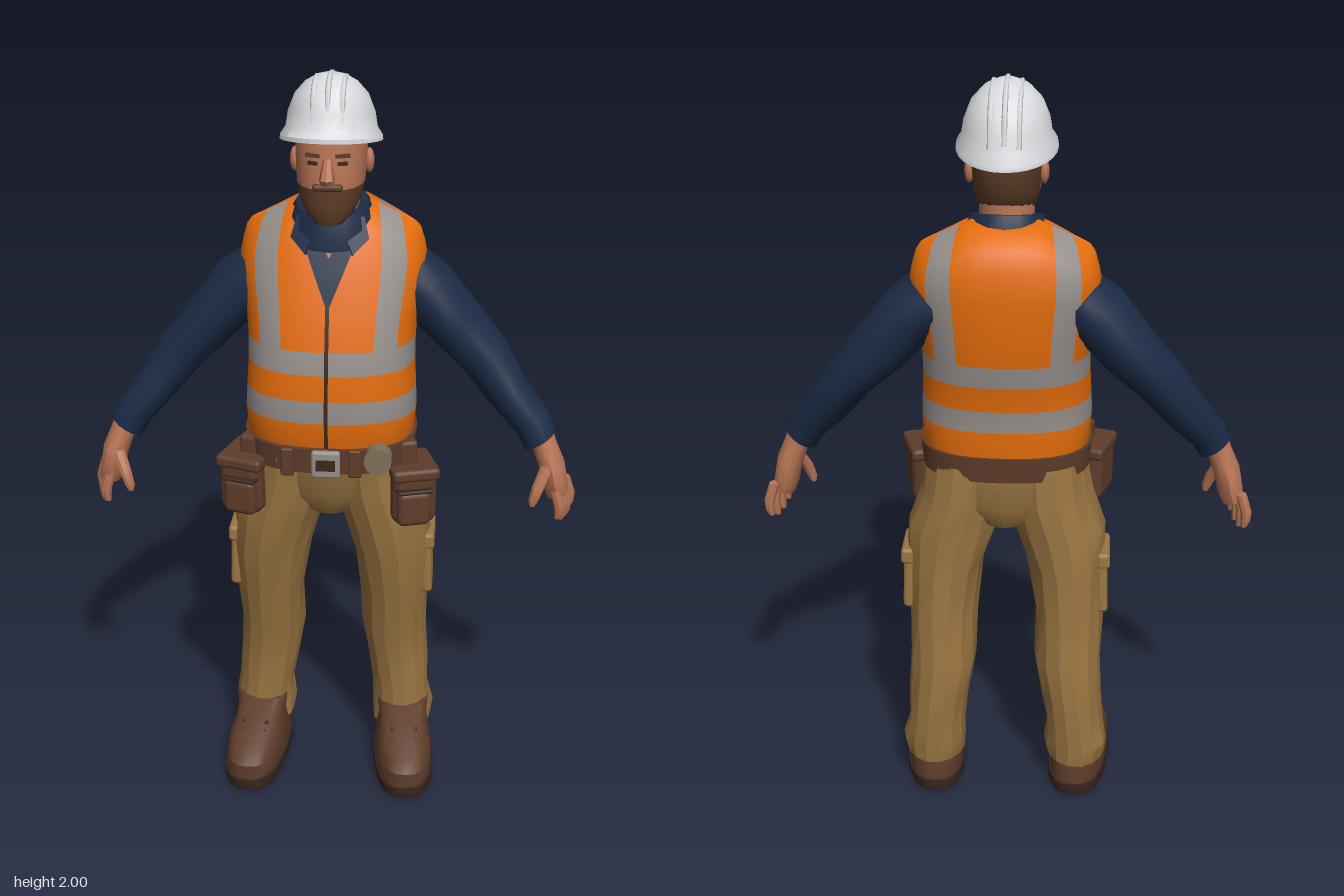
import * as THREE from 'three';
import { toCreasedNormals } from 'three/addons/utils/BufferGeometryUtils.js';
import { RoundedBoxGeometry } from 'three/addons/geometries/RoundedBoxGeometry.js';

const mat = (name, color) => Object.assign(new THREE.MeshStandardMaterial({ color }), { name });
const orange = mat('vest orange', 0xe36c0c), silver = mat('reflective grey', 0x97908c);
const navy = mat('shirt navy', 0x1b2a45), khaki = mat('trouser khaki', 0x9c7642);
const leather = mat('leather brown', 0x5e3d2b), sole = mat('dark brown', 0x3a271d);
const skin = mat('skin', 0xb97657), hair = mat('hair brown', 0x5c3c27);
const white = mat('helmet white', 0xd9dbde), metal = mat('worn metal', 0x80705a);

const V = (x, y, z) => new THREE.Vector3(x, y, z);

function add(parent, name, geo, material, pos = [0, 0, 0], rot = [0, 0, 0]) {
  const m = new THREE.Mesh(geo, material);
  m.name = name;
  m.position.set(...pos);
  m.rotation.set(...rot);
  parent.add(m);
  return m;
}

// Closed skin over rings (listed upwards); pick(centre, row, column) gives a material slot
function loft(rings, pick = () => 0, crease = 0.7) {
  const n = rings[0].length, pts = rings.flat(), faces = [[], []];
  const face = (a, b, c, i, j) => {
    const mid = V(0, 0, 0).add(pts[a]).add(pts[b]).add(pts[c]).divideScalar(3);
    faces[pick(mid, i, j)].push(a, b, c);
  };
  const centre = r => r.reduce((s, p) => s.add(p), V(0, 0, 0)).divideScalar(n);
  const last = rings.length - 1, bottom = pts.push(centre(rings[0])) - 1, top = pts.push(centre(rings[last])) - 1;
  for (let j = 0; j < n; j++) {
    const k = (j + 1) % n;
    face(bottom, j, k, -1, j);
    face(top, last * n + k, last * n + j, last, j);
    for (let i = 0; i < last; i++) {
      const a = i * n + j, b = i * n + k;
      face(a, a + n, b, i, j);
      face(b, a + n, b + n, i, j);
    }
  }
  const g = new THREE.BufferGeometry().setFromPoints(pts);
  g.setIndex(faces.flat());
  g.addGroup(0, faces[0].length, 0);
  if (faces[1].length) g.addGroup(faces[0].length, faces[1].length, 1);
  return toCreasedNormals(g, crease);
}

// Oval rings from sections [x, y, z, rx, rz, tilt]; n squares them off, slope tips them along z
function ovals(sections, { sides = 16, n = 2, slope = 0, fold = 0, s = 1 } = {}) {
  const pw = v => Math.sign(v) * Math.abs(v) ** (2 / n);
  return sections.map(([x, y, z, rx, rz, tilt = 0], i) => Array.from({ length: sides }, (_, j) => {
    const a = j / sides * Math.PI * 2, k = 1 + fold * Math.sin(3 * a + i * 2.3);
    const u = pw(Math.cos(a)) * rx * k, w = pw(Math.sin(a)) * rz * k, t = tilt * s;
    return V(s * x + u * Math.cos(t), y + u * Math.sin(t) + slope * w, z + w);
  }));
}

// Vest levels: height, half width, front z, back z
const VEST = [
  [1.03, 0.212, 0.155, -0.165], [1.06, 0.22, 0.165, -0.17], [1.13, 0.225, 0.172, -0.168],
  [1.19, 0.222, 0.17, -0.172], [1.26, 0.218, 0.166, -0.185], [1.32, 0.218, 0.155, -0.196],
  [1.4, 0.224, 0.135, -0.205], [1.5, 0.238, 0.1, -0.21], [1.57, 0.243, 0.072, -0.205],
  [1.62, 0.236, 0.045, -0.185], [1.66, 0.225, 0, -0.13], [1.672, 0.212, -0.05, -0.07]];
const bulge = f => Math.max(0, 1 - Math.abs(f) ** 2.5) ** 0.4;

function vestRing([y, w, zf, zb]) {
  const half = [1, 0.98, 0.9, 0.8, 0.67, 0.54, 0.36, 0.18];
  const across = [...half, 0, ...half.map(f => -f).reverse()];
  const mid = (zf + zb) / 2, d = (zf - zb) / 2;
  const drop = THREE.MathUtils.clamp((y - 1.35) / 0.3, 0, 1) * 0.5;
  const p = (f, side) => V(f * w, y - drop * Math.max(0, Math.abs(f * w) - 0.08), mid + side * d * bulge(f));
  return [...across.map(f => p(f, 1)), ...across.slice(1, -1).reverse().map(f => p(f, -1))];
}

function vestFront(x, y) {
  let i = 0;
  while (i < VEST.length - 2 && VEST[i + 1][0] < y) i++;
  const t = (y - VEST[i][0]) / (VEST[i + 1][0] - VEST[i][0]);
  const [, w, zf, zb] = VEST[i].map((v, k) => v + (VEST[i + 1][k] - v) * t);
  return (zf + zb) / 2 + (zf - zb) / 2 * bulge(x / w);
}

// Thin panel lying on the chest, half width running from w0 to w1
function chestPanel(y0, y1, w0, w1, lift) {
  const g = new THREE.PlaneGeometry(2, 1, 6, 14), p = g.attributes.position;
  for (let i = 0; i < p.count; i++) {
    const t = p.getY(i) + 0.5, x = p.getX(i) * (w0 + (w1 - w0) * t), y = y0 + (y1 - y0) * t;
    p.setXYZ(i, x, y, vestFront(x, y) + lift);
  }
  g.computeVertexNormals();
  return g;
}

function buildTorso(g) {
  add(g, 'safetyVest', loft(VEST.map(vestRing), (c, i, j) =>
    (i === 2 || i === 4 || (i >= 5 && i < 11 && [3, 4, 11, 12].includes(j % 16))) ? 1 : 0), [orange, silver]);
  add(g, 'shirtOpening', chestPanel(1.43, 1.63, 0.004, 0.085, 0.005), navy);
  add(g, 'openNeck', chestPanel(1.55, 1.64, 0.002, 0.045, 0.009), skin);
  add(g, 'zip', chestPanel(1.05, 1.44, 0.005, 0.005, 0.005), sole);
  add(g, 'neck', loft(ovals([[0, 1.56, -0.02, 0.07, 0.075], [0, 1.72, -0.01, 0.07, 0.078]])), skin);
  add(g, 'collar', loft(ovals([[0, 1.59, -0.025, 0.125, 0.112], [0, 1.63, -0.025, 0.115, 0.108],
    [0, 1.668, -0.02, 0.092, 0.09]], { slope: -0.25 })), navy);
  // Pointed collar leaves
  for (const s of [1, -1]) {
    const leaf = new THREE.Shape([[0.015, 0.05], [0.085, 0.055], [0.1, 0], [0.06, -0.045]]
      .map(([x, y]) => new THREE.Vector2(s * x, y)));
    add(g, 'collarLeaf', new THREE.ExtrudeGeometry(leaf, { depth: 0.012, bevelEnabled: false }), navy,
      [0, 1.6, 0.072], [-0.5, s * 0.3, 0]);
  }
}

function buildHead(g) {
  add(g, 'head', loft(ovals([[0, 1.64, 0.075, 0.035, 0.04], [0, 1.66, 0.058, 0.058, 0.064],
    [0, 1.69, 0.025, 0.076, 0.1], [0, 1.732, 0.01, 0.085, 0.115], [0, 1.78, 0.005, 0.088, 0.117],
    [0, 1.83, 0, 0.09, 0.118], [0, 1.89, 0, 0.086, 0.112]], { sides: 24, n: 2.2 }),
  c => (c.y < 1.732 || c.z < -0.005) ? 1 : 0), [skin, hair]);
  add(g, 'nose', loft(ovals([[0, 1.748, 0.128, 0.017, 0.018], [0, 1.762, 0.13, 0.02, 0.026],
    [0, 1.81, 0.115, 0.01, 0.012]], { sides: 8 })), skin);
  add(g, 'moustache', new RoundedBoxGeometry(0.075, 0.018, 0.025, 2, 0.008), hair, [0, 1.738, 0.117]);
  for (const s of [1, -1]) {
    add(g, 'ear', new THREE.SphereGeometry(1, 10, 8).scale(0.013, 0.032, 0.02), skin, [s * 0.093, 1.775, -0.01]);
    add(g, 'eye', new THREE.BoxGeometry(0.026, 0.009, 0.008), sole, [s * 0.036, 1.797, 0.112], [0, s * 0.3, 0]);
    add(g, 'eyebrow', new THREE.BoxGeometry(0.036, 0.009, 0.009), hair, [s * 0.037, 1.816, 0.112], [0, s * 0.3, 0]);
  }
  // Hard hat: tipped brim and dome with raised ribs
  add(g, 'hardHat', loft(ovals([[0, 1.834, 0.005, 0.112, 0.138], [0, 1.832, 0.008, 0.128, 0.157],
    [0, 1.843, 0.008, 0.127, 0.156], [0, 1.862, 0.003, 0.114, 0.138], [0, 1.9, 0.002, 0.108, 0.129],
    [0, 1.943, 0, 0.091, 0.109], [0, 1.973, 0, 0.064, 0.08], [0, 1.99, 0, 0.034, 0.045],
    [0, 1.995, 0, 0.01, 0.012]], { sides: 28, slope: 0.16 })), white);
  for (const x of [-0.035, 0, 0.035]) {
    const path = [[1.885, 0.128], [1.945, 0.106], [1.975, 0.075], [1.99, 0.035], [1.99, -0.035],
      [1.975, -0.075], [1.945, -0.106], [1.885, -0.128]]
      .map(([y, z]) => V(x, y + 0.16 * z - Math.abs(x) * 0.25, z * (1 - Math.abs(x))));
    add(g, 'hatRib', new THREE.TubeGeometry(new THREE.CatmullRomCurve3(path), 24, 0.007, 6), white);
  }
}

function buildArm(g, s) {
  add(g, 'sleeve', loft(ovals([[0.553, 1.035, -0.004, 0.048, 0.05, 0.6], [0.53, 1.08, -0.012, 0.052, 0.055, 0.65],
    [0.465, 1.155, -0.04, 0.058, 0.07, 0.7], [0.4, 1.245, -0.065, 0.067, 0.084, 0.7],
    [0.315, 1.335, -0.072, 0.076, 0.094, 0.72], [0.238, 1.425, -0.072, 0.083, 0.104, 0.75],
    [0.18, 1.47, -0.072, 0.08, 0.1, 0.8]], { s, fold: 0.025 })), navy);
  add(g, 'palm', loft(ovals([[0.608, 0.88, 0, 0.03, 0.045, 0.3], [0.6, 0.91, 0.002, 0.034, 0.056, 0.3],
    [0.588, 0.965, 0.003, 0.035, 0.054, 0.3], [0.568, 1.015, 0, 0.033, 0.04, 0.35],
    [0.55, 1.06, -0.005, 0.034, 0.036, 0.5]], { s, sides: 12 })), skin);
  // Fingers, front to back, and thumb
  [0.02, 0.005, 0, 0.012].forEach((short, j) => {
    const z = 0.044 - j * 0.029, x = 0.597 + j * 0.01;
    add(g, 'finger', loft(ovals([[x + 0.012, 0.803 + short, z, 0.008, 0.009], [x + 0.016, 0.82 + short, z, 0.013, 0.014],
      [x + 0.016, 0.86, z, 0.015, 0.016], [x, 0.91, z * 0.9, 0.015, 0.016]], { s, sides: 8 })), skin);
  });
  add(g, 'thumb', loft(ovals([[0.54, 0.868, 0.066, 0.008, 0.009], [0.543, 0.885, 0.066, 0.014, 0.014],
    [0.556, 0.925, 0.058, 0.017, 0.017], [0.578, 0.975, 0.032, 0.018, 0.02]], { s, sides: 8 })), skin);
}

function buildLeg(g, s) {
  add(g, 'trouserLeg', loft(ovals([[0.2, 0.1, -0.075, 0.083, 0.09], [0.2, 0.15, -0.08, 0.088, 0.094],
    [0.195, 0.21, -0.08, 0.079, 0.096], [0.186, 0.3, -0.08, 0.084, 0.1], [0.172, 0.42, -0.07, 0.091, 0.108],
    [0.174, 0.55, -0.045, 0.094, 0.118], [0.165, 0.7, -0.027, 0.106, 0.136], [0.145, 0.81, -0.02, 0.122, 0.148],
    [0.115, 0.91, -0.012, 0.116, 0.156], [0.105, 1.02, -0.005, 0.11, 0.16]], { s, fold: 0.03, sides: 14 }),
  undefined, 0.35), khaki);
  add(g, 'cargoPocket', new RoundedBoxGeometry(0.03, 0.17, 0.13, 2, 0.012), khaki, [s * 0.263, 0.65, -0.035], [0, 0, s * 0.03]);
  add(g, 'pocketFlap', new RoundedBoxGeometry(0.036, 0.045, 0.136, 2, 0.01), khaki, [s * 0.265, 0.725, -0.035], [0, 0, s * 0.03]);

  // Work boot, toe turned slightly outward
  const boot = new THREE.Group();
  boot.name = 'boot';
  boot.position.set(s * 0.207, 0, 0);
  boot.rotation.y = s * 0.09;
  g.add(boot);
  add(boot, 'bootSole', loft(ovals([[0, 0, 0.025, 0.079, 0.186], [0, 0.01, 0.025, 0.083, 0.19],
    [0, 0.036, 0.025, 0.082, 0.19]], { n: 2.7, sides: 24 })), sole);
  add(boot, 'bootUpper', loft(ovals([[0, 0.034, 0.025, 0.079, 0.186], [0, 0.08, 0.025, 0.08, 0.186],
    [0, 0.11, 0.012, 0.074, 0.165], [0, 0.135, -0.03, 0.068, 0.122], [0, 0.18, -0.068, 0.074, 0.09]],
  { n: 2.5, sides: 24 })), leather);
  for (const [y, z] of [[0.124, 0.1], [0.138, 0.072], [0.152, 0.046]])
    add(boot, 'bootLace', new RoundedBoxGeometry(0.075, 0.012, 0.014, 1, 0.004), sole, [0, y, z], [0.5, 0, 0]);
}

function buildBelt(g) {
  add(g, 'trouserSeat', loft(ovals([[0, 0.835, -0.015, 0.07, 0.11], [0, 0.9, -0.012, 0.165, 0.15],
    [0, 1.01, -0.005, 0.205, 0.162]], { n: 2.4, sides: 24 })), khaki);
  add(g, 'belt', loft(ovals([[0, 0.99, 0, 0.222, 0.172], [0, 1.06, 0, 0.228, 0.177]], { n: 2.5, sides: 32 })), leather);
  add(g, 'buckle', new RoundedBoxGeometry(0.075, 0.075, 0.02, 2, 0.008), silver, [0, 1.022, 0.18]);
  add(g, 'bucklePin', new THREE.BoxGeometry(0.05, 0.03, 0.006), sole, [0, 1.022, 0.19]);
  add(g, 'tapeMeasure', new THREE.CylinderGeometry(0.036, 0.036, 0.045, 14), metal, [0.135, 1.04, 0.175], [Math.PI / 2, 0, 0]);
  for (const x of [-0.1, 0.075])
    add(g, 'beltLoop', new RoundedBoxGeometry(0.035, 0.078, 0.02, 1, 0.006), leather, [x, 1.024, 0.174]);
  // Tool pouches on both hips
  for (const s of [1, -1]) {
    const y = s > 0 ? 0.915 : 0.93, rot = [0, s * 0.3, 0];
    add(g, 'toolPouch', new RoundedBoxGeometry(0.12, 0.165, 0.14, 3, 0.03), leather, [s * 0.215, y, 0.08], rot);
    add(g, 'pouchPocket', new RoundedBoxGeometry(0.09, 0.1, 0.04, 3, 0.018), leather, [s * 0.228, y - 0.025, 0.145], rot);
    add(g, 'pouchFlap', new RoundedBoxGeometry(0.128, 0.035, 0.148, 2, 0.012), leather, [s * 0.215, y + 0.065, 0.08], rot);
    add(g, 'pouchRim', new RoundedBoxGeometry(0.094, 0.01, 0.044, 1, 0.004), sole, [s * 0.228, y + 0.025, 0.145], rot);
    add(g, 'pouchStrap', new RoundedBoxGeometry(0.05, 0.08, 0.05, 2, 0.01), leather, [s * 0.205, 1.02, 0.085], rot);
  }
}

export function createModel() {
  const model = new THREE.Group();
  model.name = 'constructionWorker';
  const part = (name, build, ...args) => {
    const g = new THREE.Group();
    g.name = name;
    build(g, ...args);
    model.add(g);
  };
  part('torso', buildTorso);
  part('headAndHat', buildHead);
  part('toolBelt', buildBelt);
  for (const [side, s] of [['left', 1], ['right', -1]]) {
    part(side + 'Arm', buildArm, s);
    part(side + 'Leg', buildLeg, s);
  }
  return model;
}
